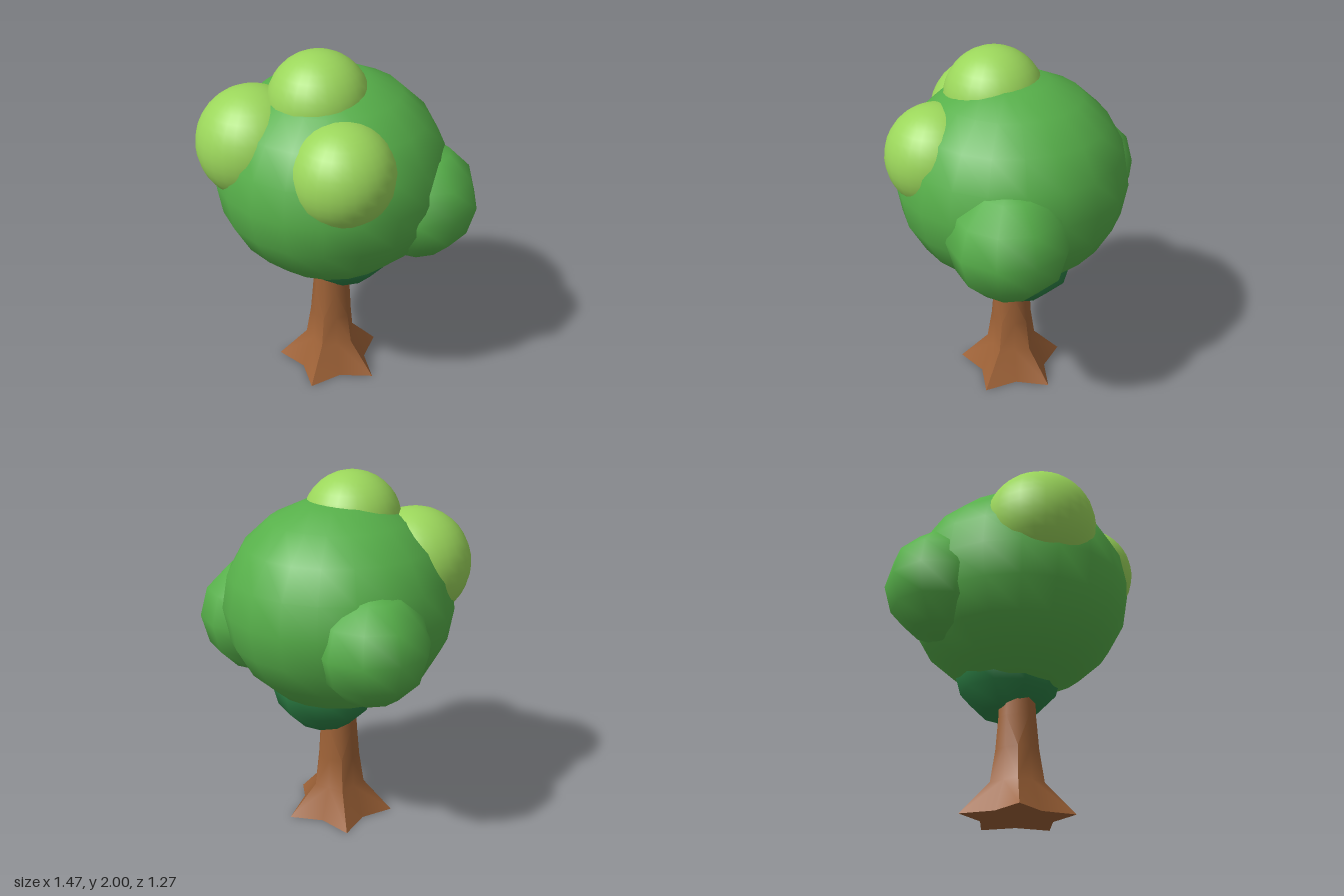
import * as THREE from 'three';
import { toCreasedNormals } from 'three/addons/utils/BufferGeometryUtils.js';

const paint = (color) => new THREE.MeshStandardMaterial({ color });
const bark = paint(0x9e6237);
const leaf = paint(0x57b04a);
const lightLeaf = paint(0x9bd65b);
const darkLeaf = paint(0x2d8246);

// One rounded clump of foliage
function clump(name, material, r, [x, y, z], cols, rows, squash = 1, turn = 0) {
  const mesh = new THREE.Mesh(new THREE.SphereGeometry(r, cols, rows), material);
  mesh.name = name;
  mesh.position.set(x, y, z);
  mesh.scale.y = squash;
  mesh.rotation.y = turn;
  return mesh;
}

// Ten-sided trunk whose foot flares into five root tips
function trunkGeometry() {
  // height, radius at the root tips, radius at the valleys between them
  const rings = [
    [0, 0.315, 0.2],
    [0.18, 0.15, 0.125],
    [0.36, 0.122, 0.115],
    [0.54, 0.107, 0.105],
    [0.72, 0.1, 0.1],
  ];
  const n = 10;
  const pos = [];
  const index = [];
  for (const [y, tip, valley] of rings) {
    for (let i = 0; i < n; i++) {
      const a = (i / n) * Math.PI * 2;
      const r = i % 2 ? valley : tip;
      pos.push(r * Math.cos(a), y, r * Math.sin(a));
    }
  }
  for (let j = 0; j < rings.length - 1; j++) {
    for (let i = 0; i < n; i++) {
      const a = j * n + i;
      const b = j * n + ((i + 1) % n);
      // diagonals mirror each other about every root
      if (i % 2) index.push(a, a + n, b, b, a + n, b + n);
      else index.push(a, b + n, b, a, a + n, b + n);
    }
  }
  // Flat underside
  const centre = pos.length / 3;
  pos.push(0, 0, 0);
  for (let i = 0; i < n; i++) index.push(centre, i, (i + 1) % n);
  const geo = new THREE.BufferGeometry();
  geo.setAttribute('position', new THREE.Float32BufferAttribute(pos, 3));
  geo.setIndex(index);
  return toCreasedNormals(geo, 0.75);
}

export function createModel() {
  const tree = new THREE.Group();
  tree.name = 'tree';

  const trunk = new THREE.Mesh(trunkGeometry(), bark);
  trunk.name = 'trunk';
  tree.add(trunk);

  // Main crown with its side and lower clumps
  const turn = Math.PI / 2;
  tree.add(
    clump('crown', leaf, 0.633, [0, 1.29, 0], 20, 10, 0.92),
    clump('leftClump', leaf, 0.325, [0.425, 1.175, -0.22], 10, 6, 1, turn),
    clump('rightClump', leaf, 0.31, [-0.44, 1.21, -0.2], 10, 6, 1, turn),
    clump('lowerClump', darkLeaf, 0.305, [0.03, 0.86, -0.08], 10, 6, 1, turn),
  );

  // Sunlit clumps on top and in front
  tree.add(
    clump('topClump', lightLeaf, 0.27, [0.003, 1.73, 0.105], 28, 18),
    clump('frontRightClump', lightLeaf, 0.305, [-0.26, 1.505, 0.325], 28, 18),
    clump('frontLeftClump', lightLeaf, 0.28, [0.3, 1.475, 0.275], 28, 18),
  );
  return tree;
}
